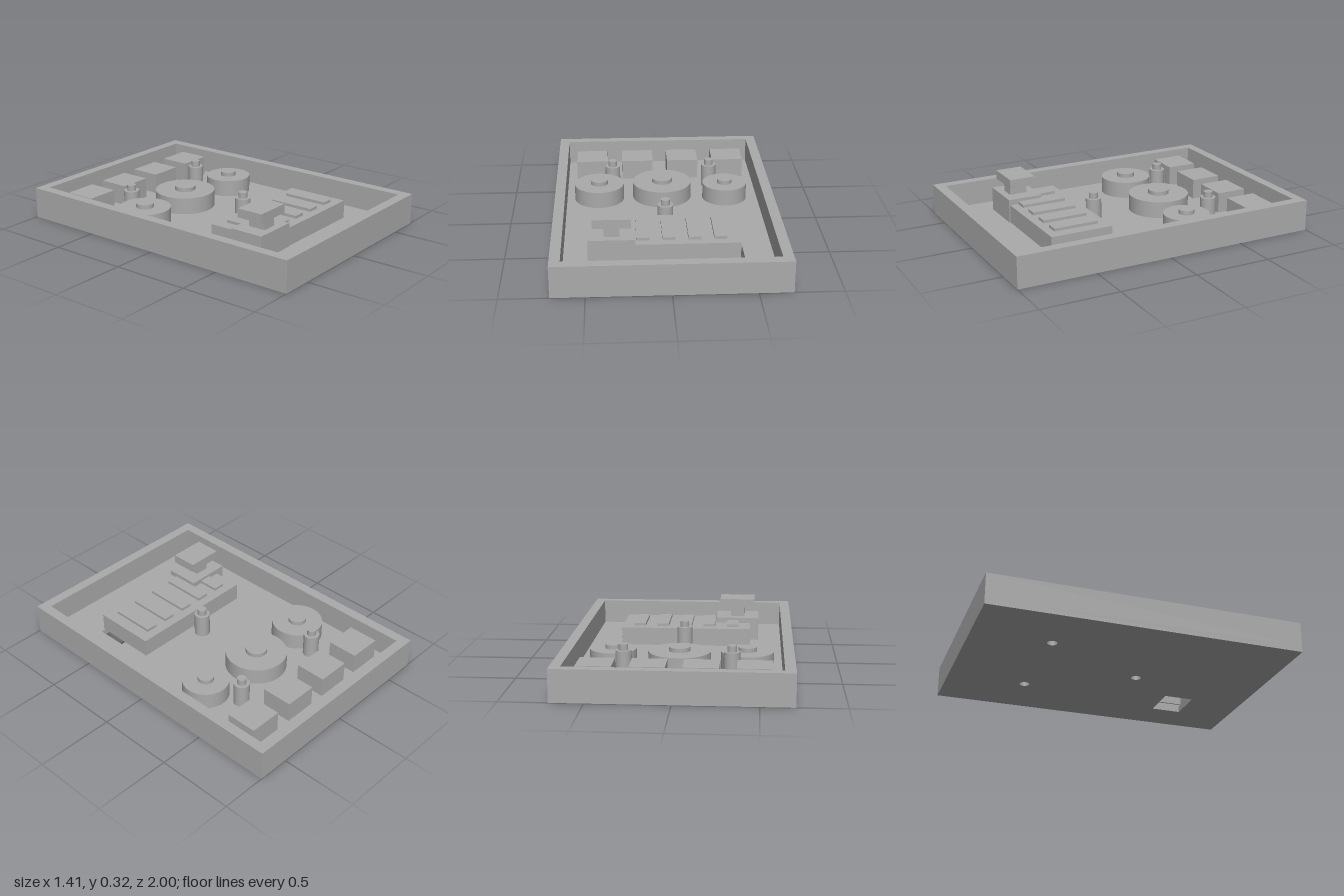
import * as THREE from 'three';

export function createModel() {
  const model = new THREE.Group();
  model.name = 'deviceTray';
  const grey = new THREE.MeshStandardMaterial({ color: 0xaaaaaa });
  grey.name = 'plainGrey';
  const FLOOR = 0.04;

  const add = (name, geometry) => {
    const mesh = new THREE.Mesh(geometry, grey);
    mesh.name = name;
    model.add(mesh);
    return mesh;
  };

  // Box given by its limits on each axis
  const box = (name, x0, x1, y0, y1, z0, z1) =>
    add(name, new THREE.BoxGeometry(x1 - x0, y1 - y0, z1 - z0))
      .position.set((x0 + x1) / 2, (y0 + y1) / 2, (z0 + z1) / 2);

  const disc = (name, x, z, r, y0, y1) =>
    add(name, new THREE.CylinderGeometry(r, r, y1 - y0, 48)).position.set(x, (y0 + y1) / 2, z);

  const rect = (Type, x0, x1, z0, z1) => new Type([[x0, z0], [x1, z0], [x1, z1], [x0, z1]]
    .map(([x, z]) => new THREE.Vector2(x, z)));

  // Plan outline (x, z) raised from y0 to y1
  const slab = (name, shape, y0, y1) => {
    const geometry = new THREE.ExtrudeGeometry(shape, { depth: y1 - y0, bevelEnabled: false, curveSegments: 16 });
    geometry.rotateX(Math.PI / 2).translate(0, y1, 0);
    return add(name, geometry);
  };

  const posts = [[-0.33, -0.495], [0.33, -0.495], [0, 0.165]];
  const boreRadius = 0.032;

  // Tray: floor pierced by a slot and the post bores, and a rim around it
  const floor = rect(THREE.Shape, -0.705, 0.705, -1, 1);
  floor.holes.push(rect(THREE.Path, 0.22, 0.46, 0.455, 0.65));
  for (const [x, z] of posts) {
    floor.holes.push(new THREE.Path().absarc(x, z, boreRadius, 0, Math.PI * 2));
  }
  slab('trayFloor', floor, 0, FLOOR);
  const rim = rect(THREE.Shape, -0.705, 0.705, -1, 1);
  rim.holes.push(rect(THREE.Path, -0.64, 0.64, -0.937, 0.935));
  slab('trayWalls', rim, FLOOR, 0.2);

  // Row of blocks at the back
  for (const x of [-0.472, -0.157, 0.157, 0.472]) {
    box('backBlock', x - 0.107, x + 0.107, FLOOR, 0.173, -0.82, -0.62);
  }

  // Wheels with raised hubs
  for (const [x, z, r, hub] of [[-0.422, -0.297, 0.165, 0.058], [0, -0.317, 0.196, 0.068], [0.42, -0.278, 0.147, 0.05]]) {
    disc('wheel', x, z, r, FLOOR, 0.148);
    disc('wheelHub', x, z, hub, 0.148, 0.175);
  }

  // Posts with a bore from below and a locating pin on top
  for (const [x, z] of posts) {
    const profile = [[0, 0.12], [boreRadius, 0.12], [boreRadius, FLOOR], [0.05, FLOOR], [0.05, 0.192], [0, 0.192]];
    // Each segment is its own lathe, so edges stay sharp
    for (let i = 0; i < profile.length - 1; i++) {
      const points = [profile[i], profile[i + 1]].map(([r, y]) => new THREE.Vector2(r, y));
      add('post', new THREE.LatheGeometry(points, 32)).position.set(x, 0, z);
    }
    disc('postPin', x, z, 0.029, 0.192, 0.23);
  }

  // Ribbed block, pocketed underneath where it covers the slot
  const base = rect(THREE.Shape, -0.432, 0.43, 0.252, 0.66);
  base.holes.push(rect(THREE.Path, 0.22, 0.42, 0.455, 0.65));
  slab('ribBlockBase', base, FLOOR, 0.13);
  box('ribBlockTop', -0.432, 0.43, 0.13, 0.158, 0.252, 0.66);
  for (let i = -2; i <= 2; i++) {
    const x = i * 0.157;
    box('rib', x - 0.039, x + 0.039, 0.158, 0.176, 0.312, 0.605);
  }

  // Push button on its housing
  box('buttonHousing', -0.488, -0.202, FLOOR, 0.193, 0.443, 0.667);
  box('buttonStem', -0.392, -0.297, 0.193, 0.26, 0.505, 0.62);
  box('buttonCap', -0.46, -0.226, 0.26, 0.317, 0.473, 0.645);

  return model;
}
